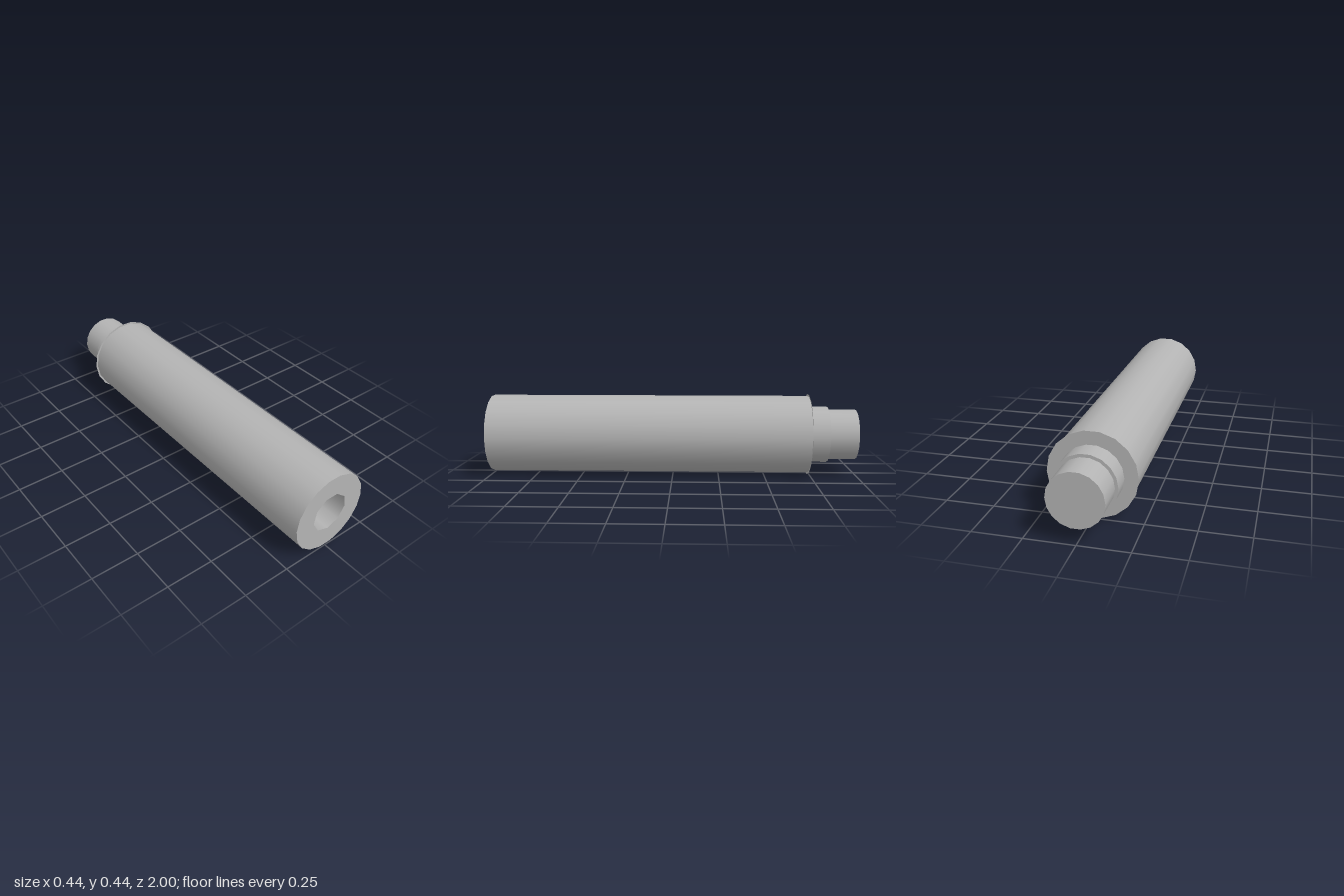
import * as THREE from 'three';

const SIDES = 18;
const BORE_SIDES = 9;
const AXIS_Y = 0.2185;

export function createModel() {
  const model = new THREE.Group();
  model.name = 'steppedTube';
  const grey = new THREE.MeshStandardMaterial({ color: 0xb4b4b4, side: THREE.DoubleSide });
  grey.name = 'grey';

  const add = (name, geometry, z) => {
    const mesh = new THREE.Mesh(geometry, grey);
    mesh.name = name;
    mesh.position.set(0, AXIS_Y, z);
    model.add(mesh);
  };

  // Open smooth wall along z
  const wall = (name, radius, z0, z1, sides = SIDES, start = Math.PI / 2) => {
    const g = new THREE.CylinderGeometry(radius, radius, z1 - z0, sides, 1, true, start);
    add(name, g.rotateX(Math.PI / 2), (z0 + z1) / 2);
  };

  // Flat annulus facing the back
  const backRing = (name, inner, outer, z) =>
    add(name, new THREE.RingGeometry(inner, outer, SIDES).rotateY(Math.PI), z);

  const polygon = (radius, sides, start) =>
    Array.from({ length: sides }, (_, i) => {
      const a = start + (i / sides) * Math.PI * 2;
      return new THREE.Vector2(Math.cos(a) * radius, Math.sin(a) * radius);
    });

  // Main barrel with a nine-sided bore
  wall('barrel', 0.211, -0.74, 1);
  const face = new THREE.Shape(polygon(0.211, SIDES, 0));
  face.holes.push(new THREE.Path(polygon(0.1027, BORE_SIDES, -Math.PI / 2)));
  add('frontFace', new THREE.ShapeGeometry(face), 1);
  wall('bore', 0.1027, -0.74, 1, BORE_SIDES, 0);
  add('boreFloor', new THREE.CircleGeometry(0.1027, BORE_SIDES, -Math.PI / 2), -0.74);

  // Thin flange closing the back of the barrel
  backRing('backFlange', 0.153, 0.2215, -0.74);

  // Collar and end plug
  wall('collar', 0.153, -0.845, -0.74);
  backRing('collarFace', 0.137, 0.153, -0.845);
  wall('plug', 0.137, -1, -0.845);
  add('plugFace', new THREE.CircleGeometry(0.137, SIDES).rotateY(Math.PI), -1);

  return model;
}
